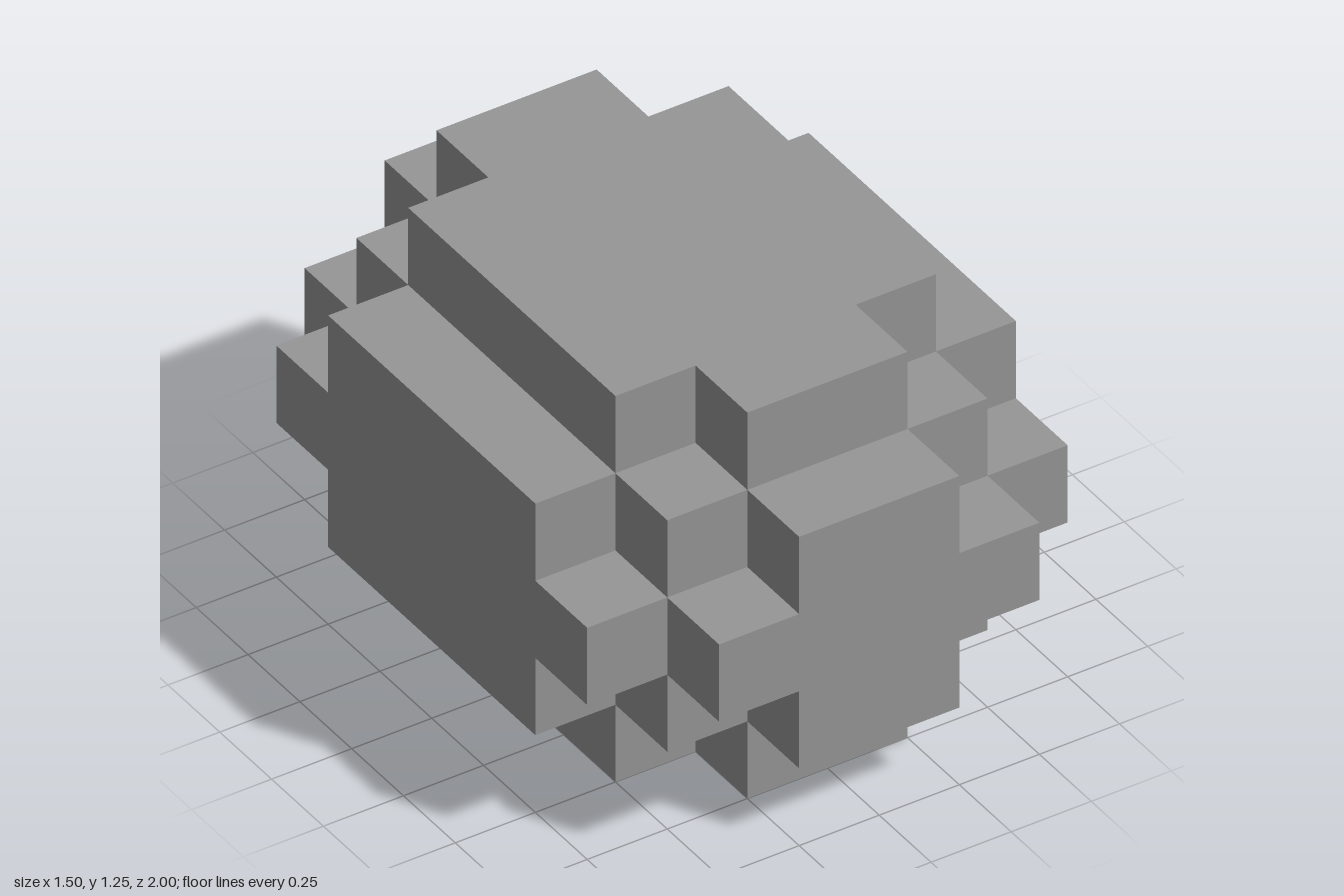
import * as THREE from 'three';

// Mirrors a stepped quarter outline (top edge to right edge) into a closed shape
function steppedShape(quarter) {
  const back = [...quarter].reverse();
  const place = (list, sx, sy) => list.map(([x, y]) => new THREE.Vector2(sx * x, sy * y));
  return new THREE.Shape([
    ...place(back, 1, 1),
    ...place(quarter, -1, 1),
    ...place(back, -1, -1),
    ...place(quarter, 1, -1),
  ]);
}

export function createModel() {
  const group = new THREE.Group();
  group.name = 'steppedBoulder';
  const stone = new THREE.MeshStandardMaterial({ color: 0x969696 });
  stone.name = 'stoneGrey';

  function addSlice(name, quarter, z0, z1) {
    const geometry = new THREE.ExtrudeGeometry(steppedShape(quarter), {
      depth: z1 - z0,
      bevelEnabled: false,
    });
    geometry.translate(0, 0.625, z0);
    const mesh = new THREE.Mesh(geometry, stone);
    mesh.name = name;
    group.add(mesh);
  }

  // Thick middle, then two narrower steps towards each end
  const core = [[0.5, 0.625], [0.5, 0.375], [0.75, 0.375]];
  const shoulder = [[0.25, 0.625], [0.25, 0.375], [0.5, 0.375], [0.5, 0.125], [0.75, 0.125]];
  const cap = [[0.25, 0.375], [0.25, 0.125], [0.5, 0.125]];

  addSlice('core', core, -0.5, 0.5);
  addSlice('frontShoulder', shoulder, 0.5, 0.75);
  addSlice('backShoulder', shoulder, -0.75, -0.5);
  addSlice('frontCap', cap, 0.75, 1);
  addSlice('backCap', cap, -1, -0.75);

  return group;
}
